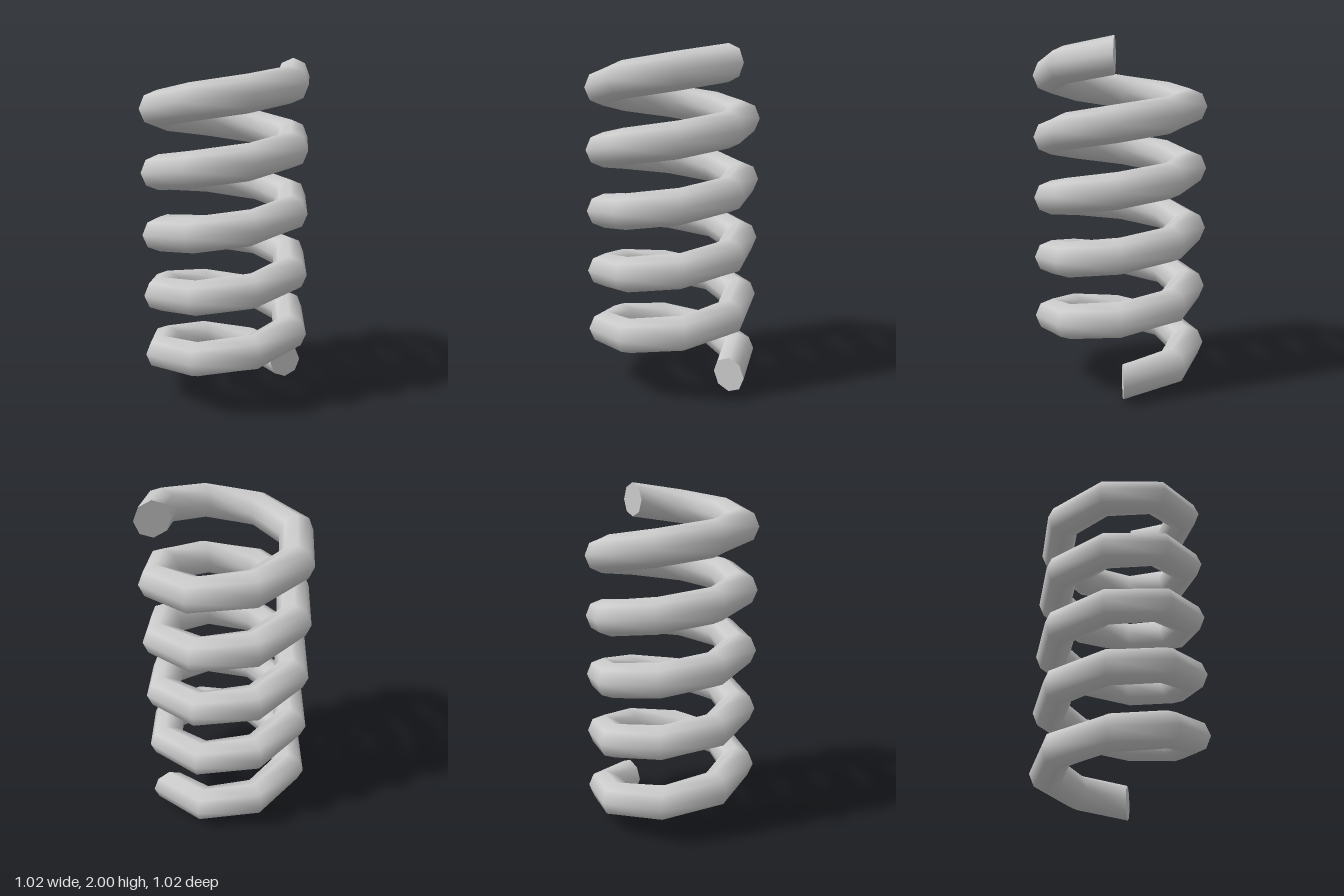
import * as THREE from 'three';

const COIL_RADIUS = 0.407, WIRE_RADIUS = 0.103, SIDES = 8;
const STEPS = 40, TOTAL_ANGLE = THREE.MathUtils.degToRad(1793.7);
const RISE = 2 - 2 * WIRE_RADIUS;

// Octagonal section kept upright and radial while it is screwed around the y axis
function coilGeometry() {
  const positions = [], indices = [];
  for (let i = 0; i <= STEPS; i++) {
    const a = (i / STEPS) * TOTAL_ANGLE;
    const y = WIRE_RADIUS + (i / STEPS) * RISE;
    for (let j = 0; j < SIDES; j++) {
      const b = (j / SIDES) * Math.PI * 2;
      const r = COIL_RADIUS + WIRE_RADIUS * Math.cos(b);
      positions.push(r * Math.cos(a), y + WIRE_RADIUS * Math.sin(b), -r * Math.sin(a));
      if (i < STEPS) {
        const p = i * SIDES + j, q = i * SIDES + (j + 1) % SIDES;
        indices.push(p, p + SIDES, q, q, p + SIDES, q + SIDES);
      }
    }
  }
  const geometry = new THREE.BufferGeometry();
  geometry.setAttribute('position', new THREE.Float32BufferAttribute(positions, 3));
  geometry.setIndex(indices);
  geometry.computeVertexNormals();
  return geometry;
}

export function createModel() {
  const model = new THREE.Group();
  model.name = 'coilSpring';
  const material = new THREE.MeshStandardMaterial({ color: 0xcccccc });

  const coil = new THREE.Mesh(coilGeometry(), material);
  coil.name = 'coil';
  model.add(coil);

  // Flat caps closing both ends of the wire
  const addCap = (name, angle, y, flip) => {
    const cap = new THREE.Mesh(new THREE.CircleGeometry(WIRE_RADIUS, SIDES), material);
    cap.name = name;
    cap.position.set(COIL_RADIUS * Math.cos(angle), y, -COIL_RADIUS * Math.sin(angle));
    cap.rotation.set(flip ? Math.PI : 0, angle, 0, 'YXZ');
    model.add(cap);
  };
  addCap('bottomEndCap', 0, WIRE_RADIUS, false);
  addCap('topEndCap', TOTAL_ANGLE, WIRE_RADIUS + RISE, true);

  return model;
}
